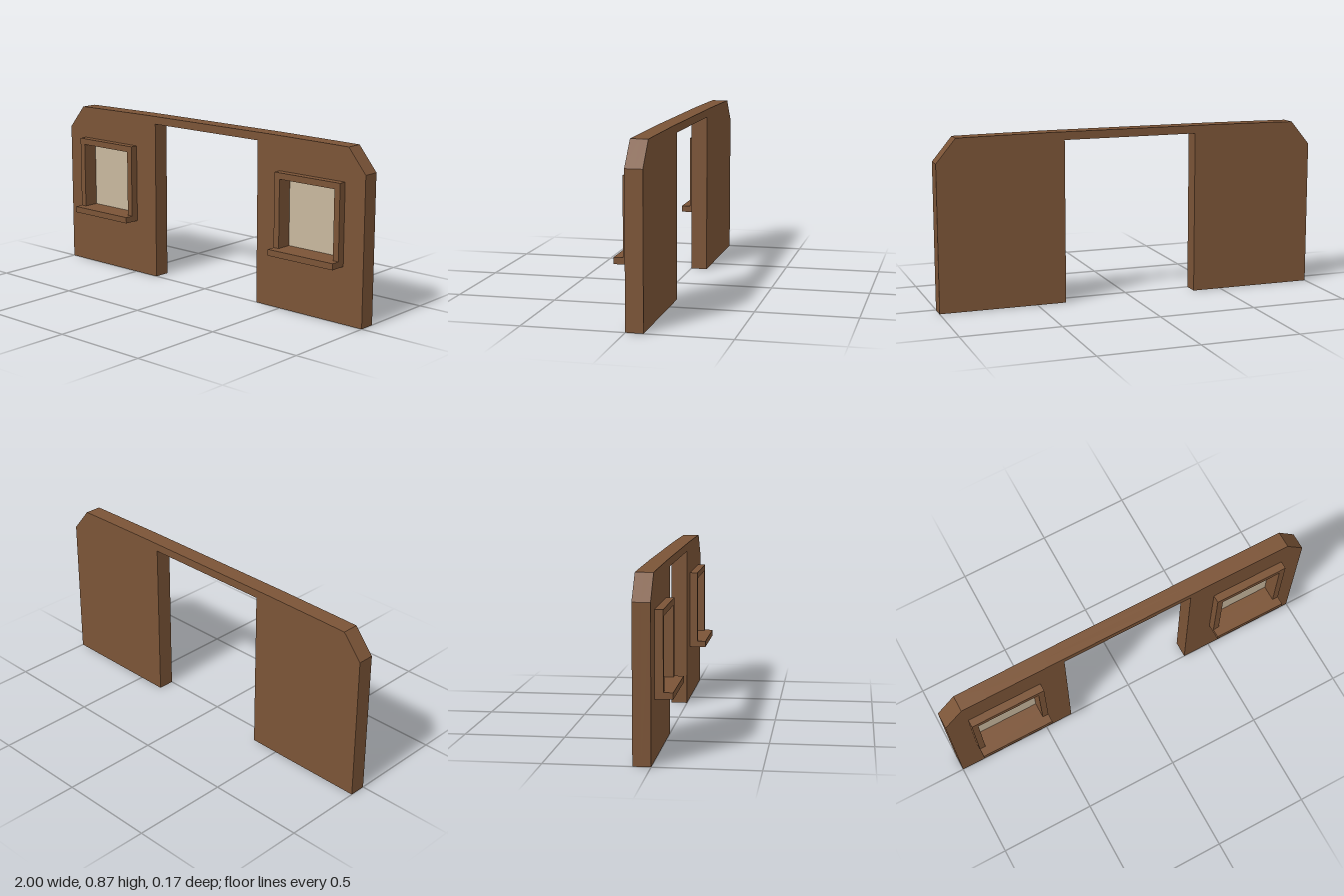
import * as THREE from 'three';

const BACK = -0.085, RECESS = -0.045, FRAME_Z = 0.04, SILL_Z = 0.085;
const WIN = { x: 0.687, half: 0.165, bottom: 0.318, top: 0.665, border: 0.032 };

// Flat shape from corner points
const outline = (pts) => new THREE.Shape(pts.map(([x, y]) => new THREE.Vector2(x, y)));

// Extrude a shape between two depths
function slab(shape, z0, z1, material, name) {
  const geo = new THREE.ExtrudeGeometry(shape, { depth: z1 - z0, bevelEnabled: false });
  geo.translate(0, 0, z0);
  const mesh = new THREE.Mesh(geo, material);
  mesh.name = name;
  return mesh;
}

// Wall with chamfered corners, a faintly bowed top and a central doorway
function wallShape() {
  const half = [[0.35, 0.83], [0.35, 0], [1, 0], [1, 0.745], [0.9, 0.866], [0.76, 0.868], [0.43, 0.871]];
  return outline([...half, ...half.map(([x, y]) => [-x, y]).reverse()]);
}

export function createModel() {
  const group = new THREE.Group();
  group.name = 'wallWithDoorway';
  const wood = new THREE.MeshStandardMaterial({ color: 0x7b5437 });
  wood.name = 'brownWood';
  const glass = new THREE.MeshStandardMaterial({ color: 0xc8b89e });
  glass.name = 'paleGlass';

  // Solid back layer, and front layer pierced by the window recesses
  const front = wallShape();
  for (const s of [-1, 1]) {
    const a = s * WIN.x - WIN.half, b = s * WIN.x + WIN.half;
    front.holes.push(new THREE.Path([[a, WIN.bottom], [a, WIN.top], [b, WIN.top], [b, WIN.bottom]]
      .map(([x, y]) => new THREE.Vector2(x, y))));
  }
  group.add(slab(wallShape(), BACK, RECESS, wood, 'wallBack'));
  group.add(slab(front, RECESS, 0, wood, 'wallFront'));

  // Windows: surround, projecting sill and recessed pane
  for (const s of [-1, 1]) {
    const win = new THREE.Group();
    win.name = s > 0 ? 'leftWindow' : 'rightWindow';
    win.position.x = s * WIN.x;
    const h = WIN.half, o = h + WIN.border, y0 = WIN.bottom, y1 = WIN.top, top = y1 + WIN.border;
    win.add(slab(outline([[-o, y0], [-h, y0], [-h, y1], [h, y1], [h, y0], [o, y0], [o, top], [-o, top]]),
      0, FRAME_Z, wood, 'windowFrame'));

    const sill = new THREE.Mesh(new THREE.BoxGeometry(o * 2, WIN.border, SILL_Z), wood);
    sill.name = 'windowSill';
    sill.position.set(0, y0 - WIN.border / 2, SILL_Z / 2);
    win.add(sill);

    const pane = new THREE.Mesh(new THREE.BoxGeometry(h * 2, y1 - y0, 0.004), glass);
    pane.name = 'windowPane';
    pane.position.set(0, (y0 + y1) / 2, RECESS + 0.002);
    win.add(pane);
    group.add(win);
  }
  return group;
}
